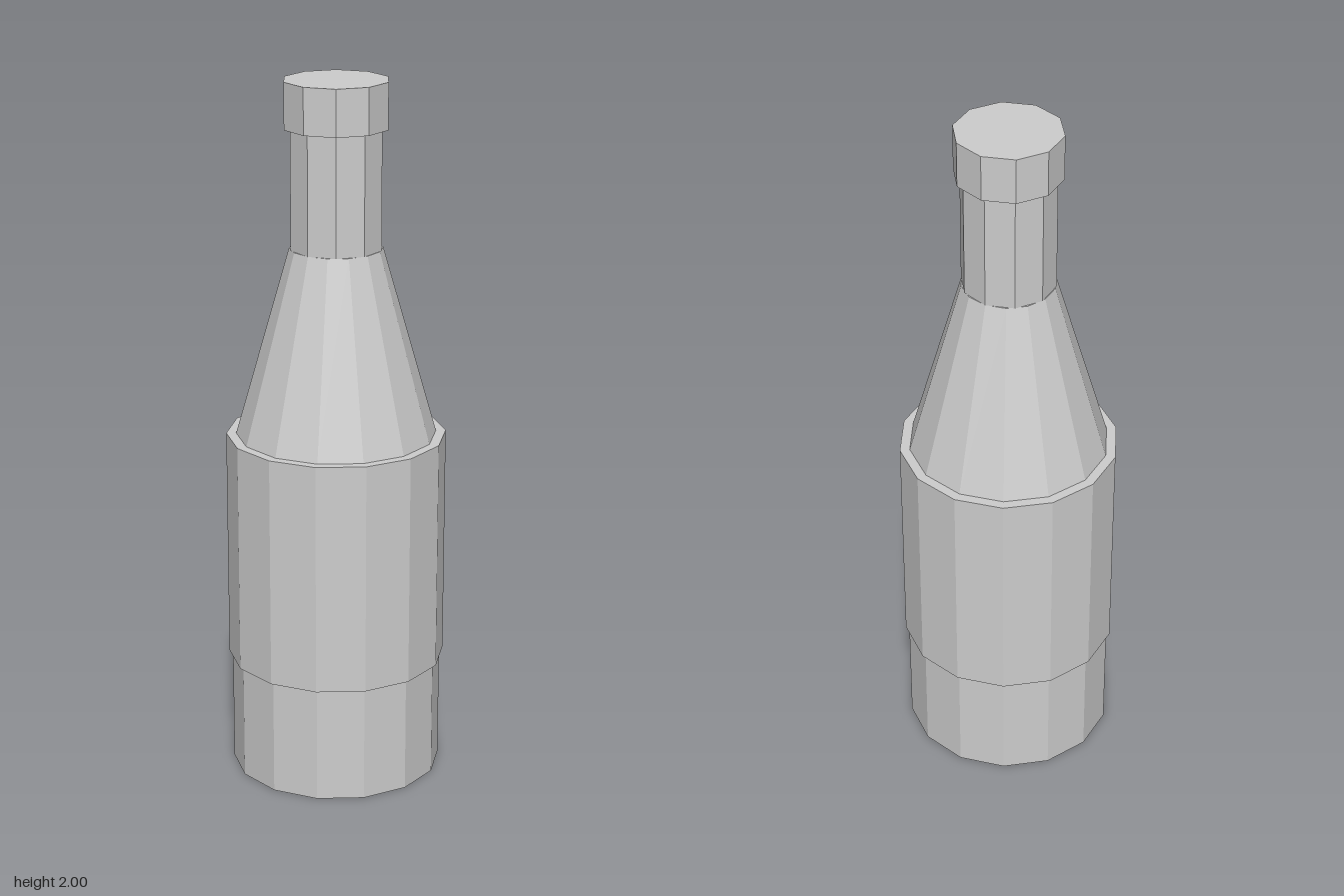
import * as THREE from 'three';

export function createModel() {
  const bottle = new THREE.Group();
  bottle.name = 'bottle';

  const grey = new THREE.MeshStandardMaterial({ color: 0xcccccc, flatShading: true });
  grey.name = 'light grey';

  // Adds one faceted, closed section standing between two heights
  function addSection(name, bottomRadius, topRadius, bottom, top, sides) {
    const geometry = new THREE.CylinderGeometry(topRadius, bottomRadius, top - bottom, sides);
    const mesh = new THREE.Mesh(geometry, grey);
    mesh.name = name;
    mesh.position.y = (bottom + top) / 2;
    bottle.add(mesh);
  }

  // Wide lower part: fourteen sides
  addSection('base', 0.3, 0.3, 0, 0.335, 14);
  addSection('labelBand', 0.31, 0.31, 0.335, 1.0, 14);
  addSection('shoulder', 0.282, 0.13, 1.0, 1.535, 14);

  // Slim upper part: ten sides
  addSection('neck', 0.131, 0.131, 1.535, 1.87, 10);
  addSection('cap', 0.148, 0.148, 1.87, 2.0, 10);

  return bottle;
}
